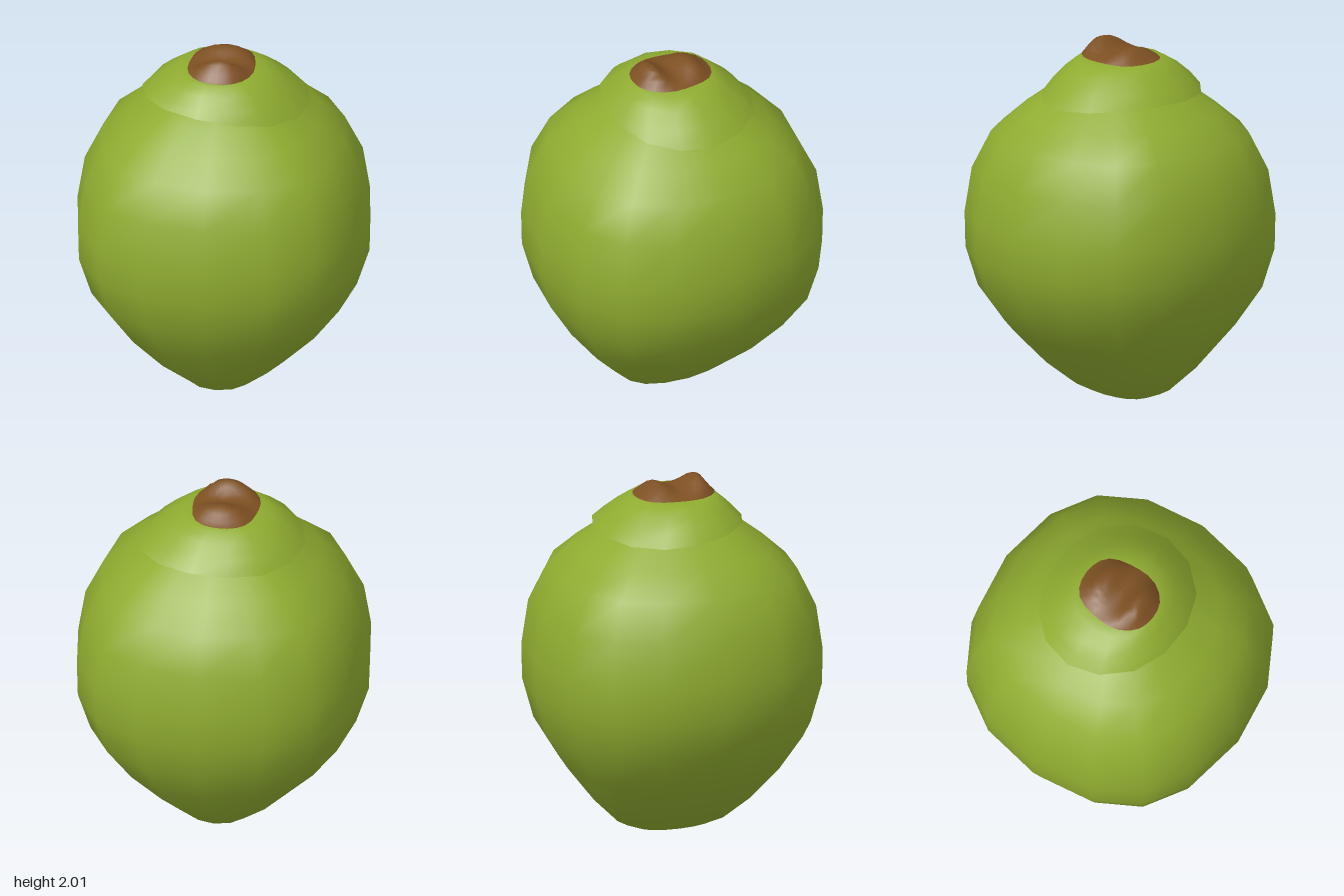
import * as THREE from 'three';

// Skins closed rings listed from bottom to top; point(ring, angle) returns [x, y, z].
function loft(rings, point, material, name, seg) {
  const pos = [], index = [];
  rings.forEach((ring) => {
    for (let j = 0; j < seg; j++) pos.push(...point(ring, (j / seg) * Math.PI * 2));
  });
  for (let i = 0; i < rings.length - 1; i++) {
    for (let j = 0; j < seg; j++) {
      const a = i * seg + j, b = i * seg + ((j + 1) % seg);
      index.push(a, a + seg, b, b, a + seg, b + seg);
    }
  }
  const geo = new THREE.BufferGeometry();
  geo.setAttribute('position', new THREE.Float32BufferAttribute(pos, 3));
  geo.setIndex(index);
  geo.computeVertexNormals();
  const mesh = new THREE.Mesh(geo, material);
  mesh.name = name;
  return mesh;
}

const bump = (v, centre, width) => Math.exp(-(((v - centre) / width) ** 2));
// Swells the diagonals of a ring so it is slightly square
const square = (a, amount) => 1 + amount * Math.sin(2 * a) ** 2;

export function createModel() {
  const group = new THREE.Group();
  group.name = 'greenFruit';
  const green = new THREE.MeshStandardMaterial({ color: 0x8fac30, side: THREE.DoubleSide });
  green.name = 'huskGreen';
  const brown = new THREE.MeshStandardMaterial({ color: 0x7d5022, side: THREE.DoubleSide });
  brown.name = 'stemBrown';

  // Husk: [y, half width x, half depth z], pinched to a short ridge along z at the base
  const body = [
    [0.006, 0.002, 0.002], [0, 0.05, 0.12], [0.015, 0.12, 0.21], [0.06, 0.205, 0.32],
    [0.2, 0.385, 0.46], [0.4, 0.58, 0.615], [0.61, 0.735, 0.74], [0.83, 0.805, 0.798],
    [1.03, 0.81, 0.802], [1.28, 0.77, 0.767], [1.49, 0.67, 0.667], [1.615, 0.53, 0.53],
    [1.715, 0.4, 0.4], [1.78, 0.31, 0.31], [1.85, 0.17, 0.17], [1.875, 0.002, 0.002],
  ];
  group.add(loft(body, ([y, rx, rz], a) => {
    // groove low on the left flank
    const groove = 1 - 0.11 * bump(a, Math.PI * 2 - 0.3, 0.28) * bump(y, 0.22, 0.15);
    const r = groove * square(a, 0.055);
    const turn = a + 0.045 * Math.sin(4 * a);
    return [rx * Math.cos(turn) * r, y, rz * Math.sin(turn) * r];
  }, green, 'husk', 16));

  // Cap: loose skirt with an uneven hem; [y, half width, half depth, z shift, hem amount]
  const cap = [
    [1.736, 0.465, 0.405, -0.025, 1], [1.8, 0.4, 0.355, -0.015, 0.4],
    [1.86, 0.325, 0.295, -0.005, 0.12], [1.905, 0.245, 0.243, 0, 0],
    [1.912, 0.165, 0.205, 0.005, 0],
  ];
  group.add(loft(cap, ([y, rx, rz, dz, hem], a) => {
    const wave = -0.02 * Math.cos(a) + 0.012 * Math.sin(a)
      - 0.011 * Math.cos(2 * a) - 0.017 * Math.sin(2 * a);
    return [
      rx * Math.cos(a) - 0.01 + 0.02 * hem,
      y + hem * wave,
      rz * Math.sin(a) * square(a, 0.03) + dz,
    ];
  }, green, 'cap', 14));

  // Stem scar: brown patch with two lumps either side of a dip
  const scar = [1, 0.97, 0.85, 0.7, 0.55, 0.4, 0.25, 0.1, 0.004];
  group.add(loft(scar, (t, a) => {
    const r = t * square(a, 0.06);
    const x = 0.183 * r * Math.cos(a) * (1 + 0.02 * Math.sin(5 * a)) - 0.01 * t;
    const z = 0.225 * r * Math.sin(a) + 0.005;
    const lumps = 0.072 * bump(z, 0.145, 0.07) + 0.046 * bump(z, -0.105, 0.075);
    const fade = (1 - t ** 6) * bump(x, 0, 0.18);
    return [x, 1.918 + 0.022 * (1 - t * t) + lumps * fade * 1.15, z];
  }, brown, 'stemScar', 24));

  return group;
}
